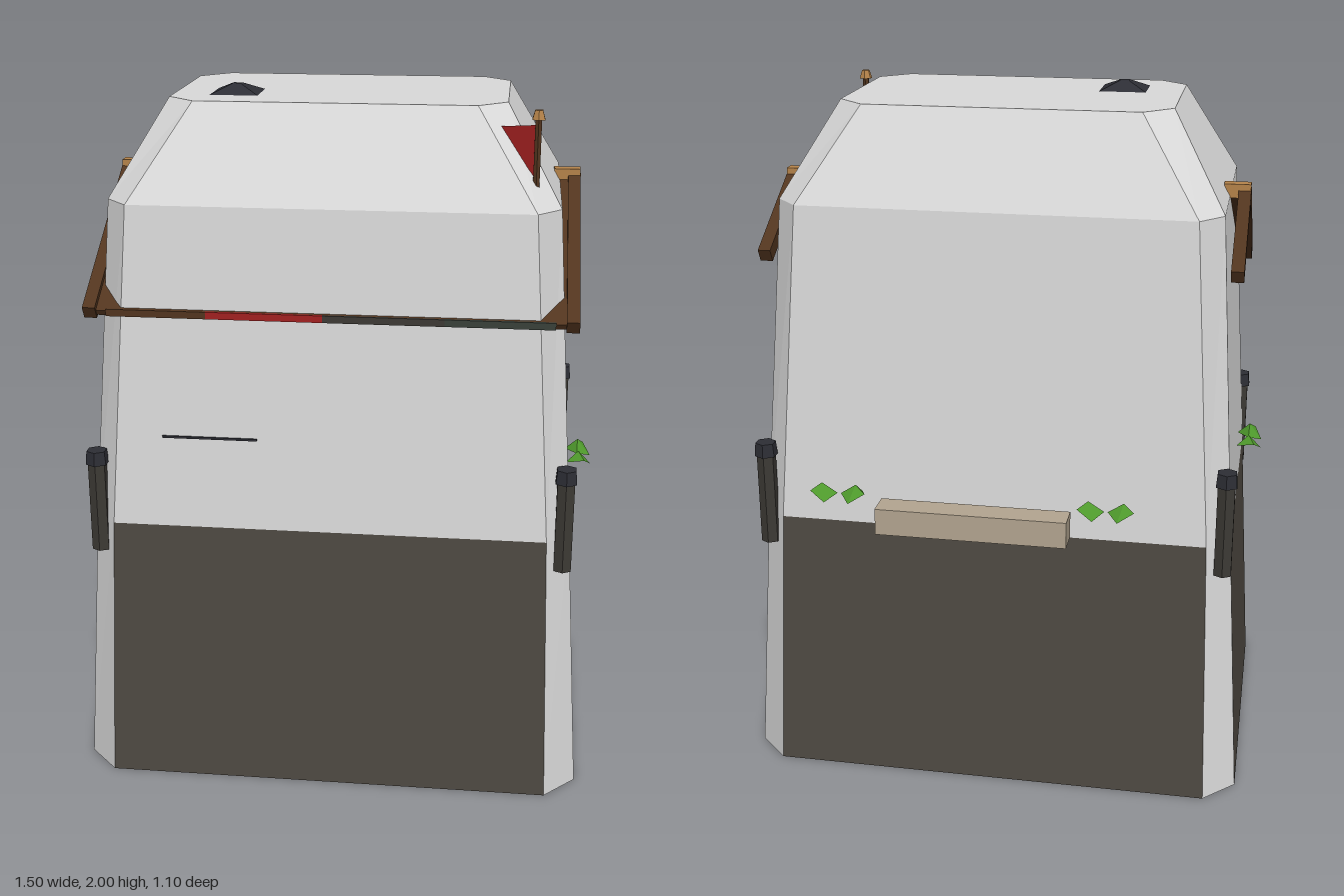
import * as THREE from 'three';

const mat = (name, color, side = THREE.FrontSide) => {
  const m = new THREE.MeshStandardMaterial({ color, side, flatShading: true });
  m.name = name;
  return m;
};

export function createModel() {
  const root = new THREE.Group();
  root.name = 'tower';
  const plaster = mat('plaster', 0xdadada);
  const stone = mat('dark stone', 0x4d4841);
  const iron = mat('iron', 0x2d2e35);
  const post = mat('post', 0x3d3a35);
  const wood = mat('wood', 0x52351f);
  const tan = mat('light wood', 0xb5834a);
  const red = mat('red cloth', 0xa32020, THREE.DoubleSide);
  const slate = mat('slate', 0x39403a);
  const trough = mat('planter', 0xb3a590);
  const leafMat = mat('leaf', 0x4f9a2c, THREE.DoubleSide);

  const add = (name, geo, material, x = 0, y = 0, z = 0, parent = root) => {
    const m = new THREE.Mesh(geo, material);
    m.name = name;
    m.position.set(x, y, z);
    parent.add(m);
    return m;
  };
  const box = (name, w, h, d, material, x, y, z) =>
    add(name, new THREE.BoxGeometry(w, h, d), material, x, y, z);
  const facets = (tris) => {
    const g = new THREE.BufferGeometry();
    g.setAttribute('position', new THREE.Float32BufferAttribute(tris.flat(), 3));
    g.computeVertexNormals();
    return g;
  };

  // Tapered body: chamfered rings of y, outer x, inner x, front z, inner front, inner back, back z
  const rings = [
    [0, 0.735, 0.645, 0.56, 0.465, -0.41, -0.5],
    [0.79, 0.685, 0.62, 0.51, 0.445, -0.38, -0.445],
    [1.71, 0.625, 0.56, 0.45, 0.375, -0.31, -0.385],
    [1.975, 0.47, 0.39, 0.32, 0.245, -0.19, -0.27],
  ].map(([y, xo, xi, zf, zfi, zbi, zb]) => [
    [xi, y, zf], [xo, y, zfi], [xo, y, zbi], [xi, y, zb],
    [-xi, y, zb], [-xo, y, zbi], [-xo, y, zfi], [-xi, y, zf],
  ]);
  const light = [], dark = [];
  for (let r = 0; r < 3; r++) {
    for (let i = 0; i < 8; i++) {
      const j = (i + 1) % 8, a = rings[r], b = rings[r + 1];
      (r === 0 && i % 2 ? dark : light).push(...a[i], ...a[j], ...b[j], ...a[i], ...b[j], ...b[i]);
    }
  }
  for (let i = 1; i < 7; i++) {
    const t = rings[3], b = rings[0];
    light.push(...t[0], ...t[i], ...t[i + 1], ...b[0], ...b[i + 1], ...b[i]);
  }
  add('towerWalls', facets(light), plaster);
  add('stoneBase', facets(dark), stone);

  // Hexagonal corner posts with caps
  for (const sx of [-1, 1]) {
    for (const [z, lift] of [[0.48, 0], [-0.425, 0.012]]) {
      add('cornerPost', new THREE.CylinderGeometry(0.028, 0.028, 0.29, 6), post, sx * 0.668, 0.842 + lift / 2, z);
      add('postCap', new THREE.CylinderGeometry(0.03, 0.034, 0.04, 6), iron, sx * 0.668, 0.982 + lift, z);
    }
  }

  // Sloped pieces running between two (z, y) points
  const slope = (name, width, thick, material, x, [z0, y0], [z1, y1]) => {
    const m = box(name, width, thick, Math.hypot(z1 - z0, y1 - y0), material, x, (y0 + y1) / 2, (z0 + z1) / 2);
    m.rotation.x = -Math.atan2(y1 - y0, z1 - z0);
    return m;
  };
  const eave = [0.48, 1.41], ridge = [-0.04, 1.715], rear = [-0.34, 1.55];
  for (const sx of [-1, 1]) {
    slope('frontGableBeam', 0.036, 0.04, wood, sx * 0.666, eave, ridge);
    slope('rearGableBeam', 0.036, 0.04, wood, sx * 0.666, ridge, rear);
    box('ridgeCap', 0.076, 0.04, 0.04, tan, sx * 0.645, 1.725, -0.04);
  }

  // Roof slab whose edge breaks through the front wall, with coloured eave strips
  slope('roofSlab', 1.3, 0.018, wood, 0, [0.475, 1.41], ridge);
  const strips = [[-0.62, -0.34, wood], [-0.34, -0.015, red], [-0.015, 0.32, post], [0.32, 0.62, slate]];
  for (const [a, b, m] of strips) box('eaveStrip', b - a, 0.02, 0.016, m, (a + b) / 2, 1.412, 0.473);

  // Thin ledge on the front wall
  box('frontLedge', 0.27, 0.006, 0.012, iron, -0.335, 1.057, 0.492);

  // Roof hatch
  const hatch = add('roofHatch', new THREE.CylinderGeometry(0.018, 0.102, 0.027, 4), iron, -0.297, 1.9865, 0.137);
  hatch.geometry.rotateY(Math.PI / 4);

  // Pennant
  add('flagPole', new THREE.CylinderGeometry(0.01, 0.01, 0.21, 6), wood, 0.552, 1.85, 0.375);
  add('poleFinial', new THREE.CylinderGeometry(0.012, 0.02, 0.025, 6), tan, 0.552, 1.962, 0.375);
  add('pennant', facets([0.55, 1.935, 0.375, 0.447, 1.92, 0.315, 0.55, 1.79, 0.375]), red);

  // Rear planter
  box('planter', 0.55, 0.078, 0.08, trough, 0.04, 0.838, -0.5);

  // Sprigs: two folded leaves spreading along x, leaning out along z
  const sprig = (x, y, z, turn) => {
    const g = new THREE.Group();
    g.name = 'sprig';
    g.position.set(x, y, z);
    g.rotation.y = turn;
    root.add(g);
    for (const s of [-1, 1]) {
      const base = [s * 0.005, -0.005, 0.01], tip = [s * 0.08, 0.005, 0.03];
      const up = [s * 0.05, 0.025, 0.012], outer = [s * 0.035, -0.02, 0.05], inner = [s * 0.06, -0.01, -0.025];
      add('leaf', facets([
        ...base, ...outer, ...up, ...up, ...outer, ...tip,
        ...base, ...up, ...inner, ...up, ...tip, ...inner,
      ]), leafMat, 0, 0, 0, g);
    }
  };
  sprig(-0.34, 0.905, -0.485, Math.PI);
  sprig(0.43, 0.905, -0.485, Math.PI);
  sprig(-0.7, 0.905, 0.145, -Math.PI / 2);
  sprig(0.7, 0.905, 0.095, Math.PI / 2);

  return root;
}
